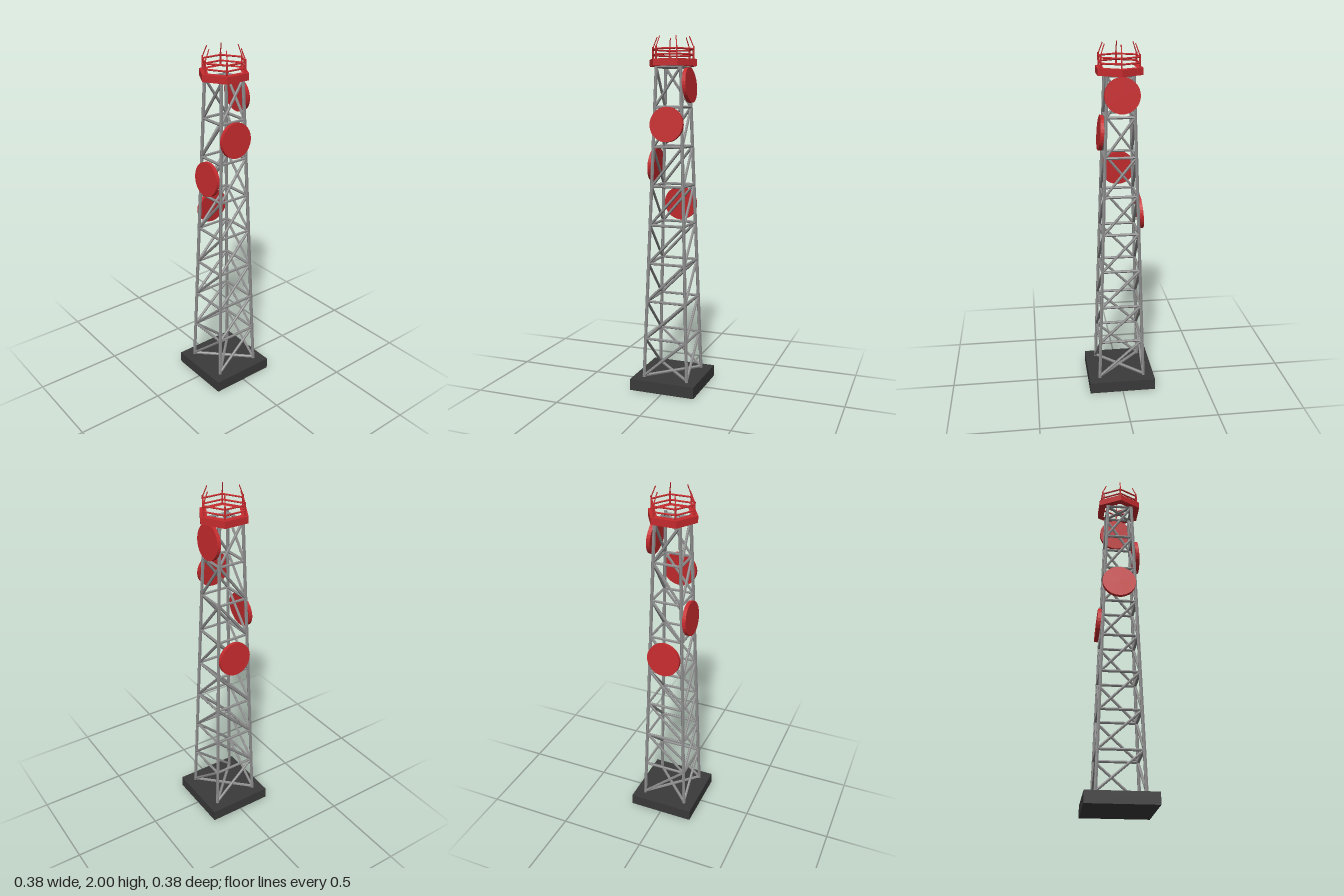
import * as THREE from 'three';

const steel = new THREE.MeshStandardMaterial({ color: 0x8c8c8c, flatShading: true });
steel.name = 'steel grey';
const red = new THREE.MeshStandardMaterial({ color: 0xc62b2e, flatShading: true });
red.name = 'signal red';
const concrete = new THREE.MeshStandardMaterial({ color: 0x3a3a3a, flatShading: true });
concrete.name = 'dark concrete';

const Y0 = 0.075, Y1 = 1.835, SECTIONS = 8;
const UP = new THREE.Vector3(0, 1, 0);
const half = (y) => 0.13 - 0.0585 * (y - Y0) / (Y1 - Y0); // tower half width at a height

function add(parent, name, geometry, material) {
  const mesh = new THREE.Mesh(geometry, material);
  mesh.name = name;
  parent.add(mesh);
  return mesh;
}

// Straight round bar between two points
function bar(parent, name, a, b, radius, material, sides = 6) {
  const dir = b.clone().sub(a);
  const mesh = add(parent, name, new THREE.CylinderGeometry(radius, radius, dir.length(), sides), material);
  mesh.position.copy(a).add(b).multiplyScalar(0.5);
  mesh.quaternion.setFromUnitVectors(UP, dir.normalize());
  return mesh;
}

// Tower corners, in order: front right, back right, back left, front left
const SIGNS = [[1, 1], [1, -1], [-1, -1], [-1, 1]];
function corner(i, y) {
  const [sx, sz] = SIGNS[i % 4], h = half(y);
  return new THREE.Vector3(sx * h, y, sz * h);
}

// Hexagon corner with points toward front and back
function hex(i, r, y) {
  const a = (i * Math.PI) / 3;
  return new THREE.Vector3(Math.sin(a) * r, y, Math.cos(a) * r);
}

function buildLattice() {
  const g = new THREE.Group();
  g.name = 'latticeTower';
  const level = (s) => Y0 + ((Y1 - Y0) * s) / SECTIONS;
  for (let i = 0; i < 4; i++) {
    bar(g, 'leg', corner(i, 0.06), corner(i, 1.85), 0.01, steel);
    for (let s = 0; s < SECTIONS; s++) {
      const lo = level(s), hi = level(s + 1);
      bar(g, 'horizontalStrut', corner(i, hi), corner(i + 1, hi), 0.008, steel);
      // One diagonal per face; the left face leans the other way between the end sections
      const flip = i === 2 && s > 0 && s < SECTIONS - 1;
      bar(g, 'diagonalBrace', corner(flip ? i + 1 : i, lo), corner(flip ? i : i + 1, hi), 0.008, steel);
    }
  }
  // Plan bracing across the bottom and the top
  for (const y of [Y0, Y1]) {
    for (let i = 0; i < 2; i++) bar(g, 'planBrace', corner(i, y), corner(i + 2, y), 0.009, steel);
  }
  return g;
}

function buildPlatform() {
  const g = new THREE.Group();
  g.name = 'topPlatform';
  const outline = (r) => Array.from({ length: 6 }, (_, i) => {
    const p = hex(i, r, 0);
    return new THREE.Vector2(p.x, p.z);
  });
  const shape = new THREE.Shape(outline(0.14));
  shape.holes.push(new THREE.Path(outline(0.1)));
  const deck = new THREE.ExtrudeGeometry(shape, { depth: 0.038, bevelEnabled: false });
  deck.rotateX(-Math.PI / 2);
  add(g, 'hexagonDeck', deck, red).position.y = 1.838;
  // Railing posts, rails and inward-leaning whip aerials
  for (let i = 0; i < 6; i++) {
    bar(g, 'railPost', hex(i, 0.12, 1.87), hex(i, 0.12, 1.945), 0.005, red);
    for (const y of [1.9, 1.93]) bar(g, 'guardRail', hex(i, 0.12, y), hex(i + 1, 0.12, y), 0.005, red);
    bar(g, 'whipAerial', hex(i, 0.12, 1.94), hex(i, 0.095, 1.999), 0.003, red);
  }
  return g;
}

// Round dish on one face, tipped slightly upward; turn is the heading about y
function buildDish(turn, y, shiftX, shiftZ) {
  const g = new THREE.Group();
  g.name = 'dishAntenna';
  const geo = new THREE.CylinderGeometry(0.097, 0.097, 0.021, 32);
  geo.rotateX(Math.PI / 2 - 0.085);
  add(g, 'dishDrum', geo, red).position.z = half(y) + 0.02;
  g.rotation.y = turn;
  g.position.set(shiftX, y, shiftZ);
  return g;
}

export function createModel() {
  const model = new THREE.Group();
  model.name = 'radioTower';
  add(model, 'baseSlab', new THREE.BoxGeometry(0.385, 0.066, 0.385), concrete).position.y = 0.033;
  model.add(buildLattice(), buildPlatform());
  model.add(buildDish(0, 1.29, -0.007, 0));
  model.add(buildDish(Math.PI / 2, 1.52, 0, 0));
  model.add(buildDish(Math.PI, 1.735, -0.007, 0));
  model.add(buildDish(-Math.PI / 2, 1.06, 0, -0.005));
  return model;
}
